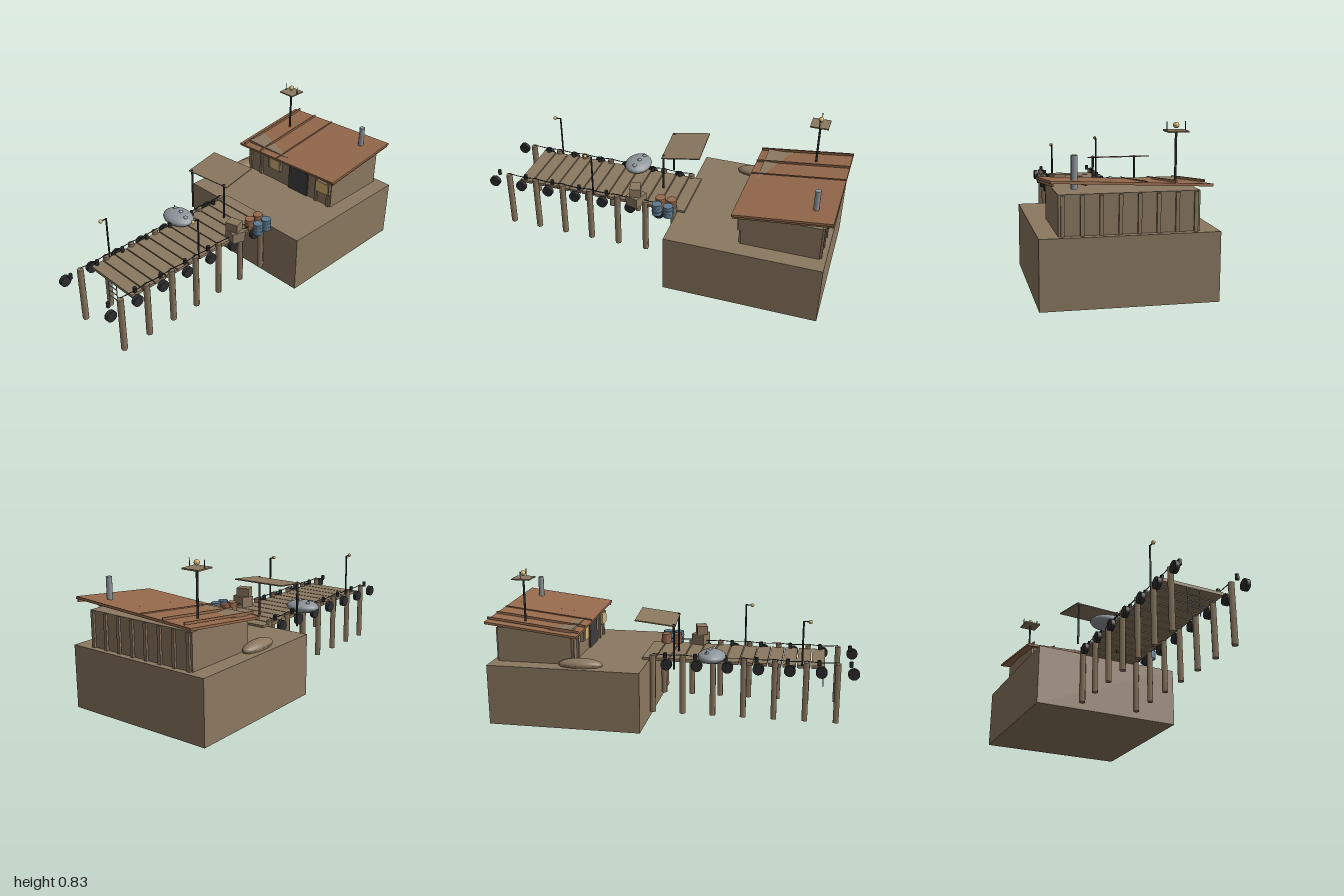
import * as THREE from 'three';

const mat = (name, color) => {
  const m = new THREE.MeshStandardMaterial({ color });
  m.name = name;
  return m;
};

export function createModel() {
  const root = new THREE.Group();
  root.name = 'pierHouse';
  const wood = mat('weathered wood', 0x8b7860);
  const rust = mat('rusted metal', 0x966a4c);
  const dark = mat('dark rubber', 0x2b2c2e);
  const doorGrey = mat('door grey', 0x3e3e3f);
  const steel = mat('pale steel', 0x8f969c);
  const blue = mat('barrel blue', 0x5d7a90);
  const glow = mat('warm light', 0xd6b472);

  const add = (name, geo, material, x, y, z, rx = 0, ry = 0, rz = 0, parent = root) => {
    const m = new THREE.Mesh(geo, material);
    m.name = name;
    m.position.set(x, y, z);
    m.rotation.set(rx, ry, rz);
    parent.add(m);
    return m;
  };
  const box = (name, material, w, h, d, x, y, z, rx, ry, rz) =>
    add(name, new THREE.BoxGeometry(w, h, d), material, x, y, z, rx, ry, rz);
  // vertical cylinder given by its bottom and top
  const post = (name, material, r, y0, y1, x, z, sides = 8, turn = 0) =>
    add(name, new THREE.CylinderGeometry(r, r, y1 - y0, sides), material, x, (y0 + y1) / 2, z, 0, turn, 0);
  const ball = (name, material, r, x, y, z) =>
    add(name, new THREE.SphereGeometry(r, 16, 12), material, x, y, z);

  // Ground block and hut
  box('groundBlock', wood, 0.845, 0.335, 0.843, 0, 0.1675, -0.5585);
  box('hutBody', wood, 0.66, 0.19, 0.415, 0, 0.43, -0.7375);
  for (let i = 0; i < 8; i++) {
    const x = -0.31 + i * 0.62 / 7;
    box('backBatten', wood, 0.018, 0.185, 0.012, x, 0.4275, -0.95);
    if (x < -0.2 || x > 0.2) box('frontBatten', wood, 0.018, 0.165, 0.012, x, 0.4175, -0.526);
  }
  box('door', doorGrey, 0.146, 0.152, 0.012, 0.082, 0.411, -0.527);
  box('leftWindowFrame', wood, 0.1, 0.07, 0.018, -0.105, 0.45, -0.522);
  box('leftWindowPane', glow, 0.07, 0.066, 0.006, -0.096, 0.45, -0.511);
  box('rightWindowFrame', wood, 0.1, 0.07, 0.018, 0.275, 0.45, -0.522);
  box('rightWindowPane', glow, 0.09, 0.066, 0.006, 0.273, 0.45, -0.511);

  // Crooked roof with level ribs that partly sink into it
  box('roof', rust, 0.742, 0.013, 0.516, 0, 0.5435, -0.742, 0.117, 0, 0.047);
  for (const x of [-0.33, -0.2, -0.065, 0.065, 0.21, 0.36])
    box('roofRib', rust, 0.006, 0.013, 0.512, x, 0.5465, -0.742, 0.117, 0, 0);
  post('chimney', steel, 0.016, 0.54, 0.694, 0.247, -0.89, 8, Math.PI / 8);

  // Mast with lamp platform
  post('mast', dark, 0.006, 0.5, 0.782, -0.25, -0.81);
  box('mastPlatform', wood, 0.1, 0.007, 0.1, -0.25, 0.785, -0.81);
  for (const s of [-1, 1]) post('mastRod', dark, 0.0022, 0.788, 0.829, -0.25 + s * 0.045, -0.81, 6);
  ball('mastLamp', glow, 0.0145, -0.25, 0.812, -0.81);

  // Upturned boat beside the hut
  const hull = add('upturnedBoat', new THREE.SphereGeometry(1, 24, 10, 0, Math.PI * 2, 0, Math.PI / 2),
    wood, -0.349, 0.345, -0.475, 0, 0.06, 0);
  hull.scale.set(0.047, 0.033, 0.12);
  const rim = add('boatRim', new THREE.CylinderGeometry(1, 0.96, 1, 24), wood, -0.349, 0.34, -0.475, 0, 0.06, 0);
  rim.scale.set(0.048, 0.011, 0.121);

  // Pier deck
  const planks = 13, pitch = 1.0 / planks;
  for (let i = 0; i < planks; i++)
    box('deckPlank', wood, 0.335, 0.017, pitch - 0.006, 0, 0.3385, -0.18 + (i + 0.5) * pitch);

  // Piles, tyres, bollards and ropes on both sides
  for (const s of [-1, 1]) {
    for (let i = 0; i < 7; i++) {
      const z = 0.888 - i * 0.1675;
      post('pile', wood, 0.0175, 0.035, 0.365, s * 0.167, z, 6, Math.PI / 6);
      add('tyre', new THREE.CylinderGeometry(0.031, 0.031, 0.022, 16), dark,
        s * 0.192, 0.32, z + 0.081, 0, 0, Math.PI / 2);
      post('bollard', dark, 0.0105, 0.347, 0.376, s * 0.157, z + 0.067);
      if (i < 6) {
        const sag = new THREE.QuadraticBezierCurve3(
          new THREE.Vector3(s * 0.167, 0.372, z),
          new THREE.Vector3(s * 0.167, 0.36, z - 0.084),
          new THREE.Vector3(s * 0.167, 0.372, z - 0.1675));
        add('rope', new THREE.TubeGeometry(sag, 6, 0.0025, 5), dark, 0, 0, 0);
      }
    }
  }

  // Lamp posts with short arms
  for (const [x, z] of [[-0.169, 0.697], [0.167, 0.362]]) {
    post('lampPole', dark, 0.005, 0.345, 0.59, x, z);
    box('lampArm', dark, 0.005, 0.005, 0.036, x, 0.589, z + 0.016);
    ball('lampBulb', glow, 0.0105, x, 0.588, z + 0.035);
  }

  // Ladder at the pier head
  for (const s of [-1, 1]) post('ladderRail', steel, 0.0028, 0.19, 0.345, s * 0.034, 0.812, 6);
  for (const y of [0.23, 0.264, 0.298, 0.33])
    box('ladderRung', steel, 0.068, 0.004, 0.004, 0, y, 0.812);

  // Awning
  box('awningSheet', wood, 0.288, 0.006, 0.218, -0.137, 0.572, -0.09, 0.13, 0.075, 0);
  post('awningPole', dark, 0.006, 0.315, 0.565, -0.257, 0.018);
  post('awningPole', dark, 0.006, 0.315, 0.568, -0.013, 0.002);

  // Rounded float with knobs
  const body = ball('float', steel, 1, -0.168, 0.374, 0.21);
  body.scale.set(0.099, 0.035, 0.077);
  for (const [x, y, z] of [[-0.215, 0.4, 0.19], [-0.158, 0.406, 0.2], [-0.105, 0.398, 0.212]])
    ball('floatKnob', steel, 0.012, x, y, z);
  post('floatRod', steel, 0.003, 0.39, 0.418, -0.222, 0.19, 6);

  // Crates and barrels
  box('lowerCrate', wood, 0.09, 0.06, 0.075, 0.178, 0.377, 0.1, 0, -0.3, 0);
  box('upperCrate', wood, 0.074, 0.05, 0.06, 0.172, 0.432, 0.105, 0, 0.28, 0);
  for (const z of [-0.1, -0.036])
    for (const [x, m] of [[0.155, rust], [0.22, blue]]) {
      post('barrel', m, 0.028, 0.335, 0.402, x, z, 12);
      for (const y of [0.356, 0.381]) post('barrelHoop', m, 0.0295, y - 0.002, y + 0.002, x, z, 12);
    }

  return root;
}
